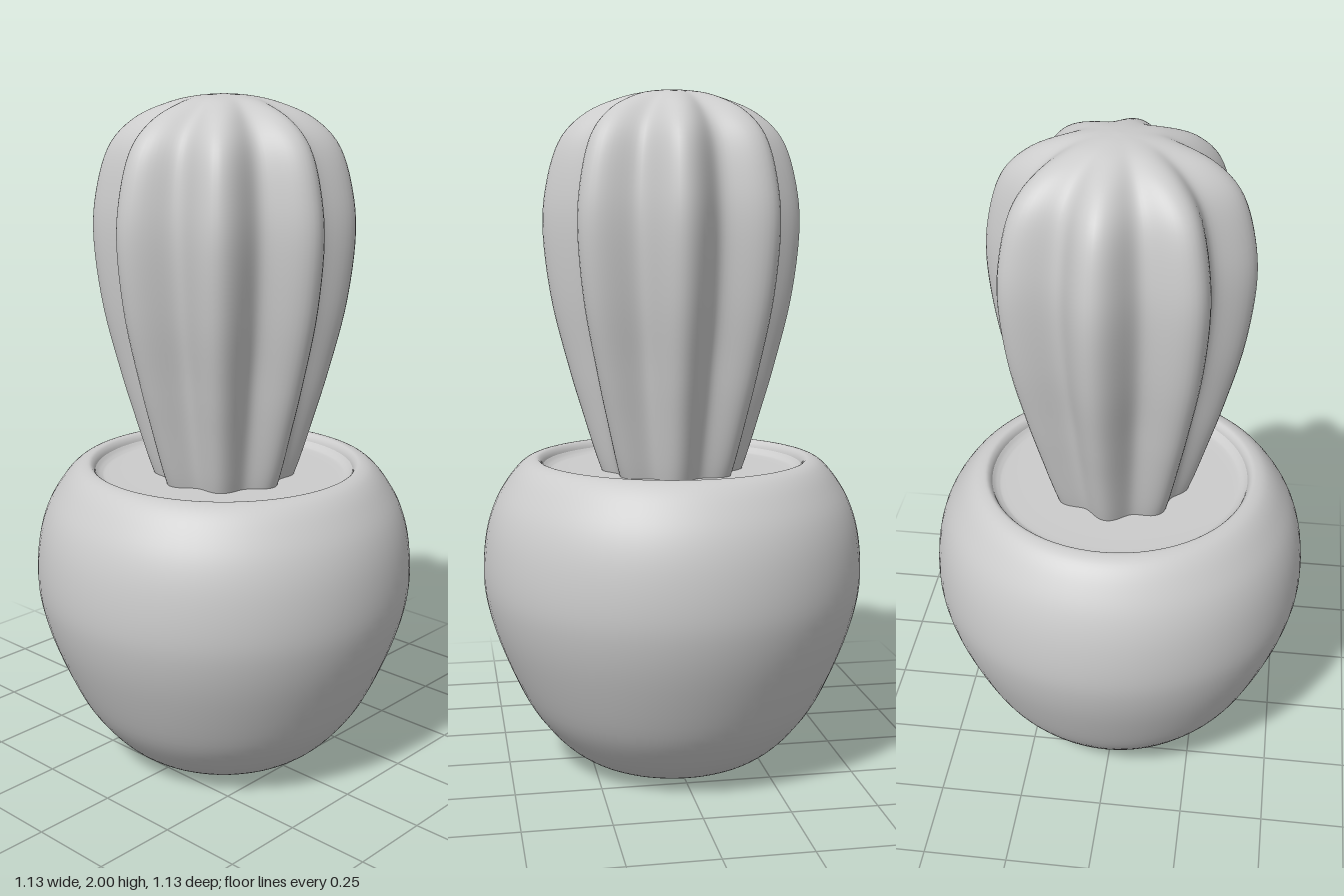
import * as THREE from 'three';
import { mergeVertices } from 'three/addons/utils/BufferGeometryUtils.js';

const material = new THREE.MeshStandardMaterial({ color: 0xcccccc });

// Smooth profile through a few [radius, height] points
function profile(points, divisions) {
  const curve = new THREE.SplineCurve(points.map(([r, y]) => new THREE.Vector2(r, y)));
  return curve.getPoints(divisions).map((p) => new THREE.Vector2(Math.max(p.x, 0), p.y));
}

function part(name, geometry) {
  const mesh = new THREE.Mesh(geometry, material);
  mesh.name = name;
  return mesh;
}

// Eight-ribbed body: a lathe whose radius is pulled in between the ribs
function ribbedBody() {
  const outline = profile([
    [0.195, 0.85], [0.225, 0.93], [0.265, 1.06], [0.306, 1.2], [0.355, 1.4], [0.378, 1.6],
    [0.365, 1.74], [0.325, 1.86], [0.25, 1.935], [0.15, 1.978], [0.07, 1.995], [0, 2],
  ], 56);
  const geometry = new THREE.LatheGeometry(outline, 160);
  const pos = geometry.attributes.position;
  const ribOffset = THREE.MathUtils.degToRad(4.5);
  for (let i = 0; i < pos.count; i++) {
    const x = pos.getX(i), y = pos.getY(i), z = pos.getZ(i);
    const valley = (1 - Math.cos(8 * (Math.atan2(z, x) - ribOffset))) / 2;
    // Ribs fade out at the crown and soften towards the base
    const crownFade = THREE.MathUtils.smoothstep(Math.hypot(x, z), 0, 0.25);
    const baseFade = 0.7 + 0.3 * THREE.MathUtils.smoothstep(y, 0.85, 1.3);
    const scale = 1 - 0.215 * valley * crownFade * baseFade;
    pos.setXYZ(i, x * scale, y, z * scale);
  }
  // Weld the seam so the shading is continuous
  geometry.deleteAttribute('uv');
  geometry.deleteAttribute('normal');
  const welded = mergeVertices(geometry, 1e-5);
  welded.computeVertexNormals();
  return welded;
}

export function createModel() {
  const model = new THREE.Group();
  model.name = 'pottedCactus';

  // Rounded pot, from the centre of the base over the rim to the inner wall
  const potOutline = [
    new THREE.Vector2(0, 0),
    ...profile([
      [0.17, 0.002], [0.25, 0.015], [0.32, 0.055], [0.385, 0.12], [0.45, 0.215], [0.52, 0.375],
      [0.557, 0.5], [0.567, 0.6], [0.557, 0.71], [0.53, 0.8], [0.485, 0.875], [0.445, 0.917],
      [0.41, 0.93], [0.393, 0.922], [0.384, 0.9], [0.38, 0.86],
    ], 64),
  ];
  model.add(part('pot', new THREE.LatheGeometry(potOutline, 72)));

  // Soil, curving up slightly where it meets the pot
  const soilOutline = profile([[0.386, 0.908], [0.37, 0.896], [0.34, 0.891], [0.2, 0.89], [0, 0.89]], 20);
  model.add(part('soil', new THREE.LatheGeometry(soilOutline, 72)));

  model.add(part('cactusBody', ribbedBody()));
  return model;
}
